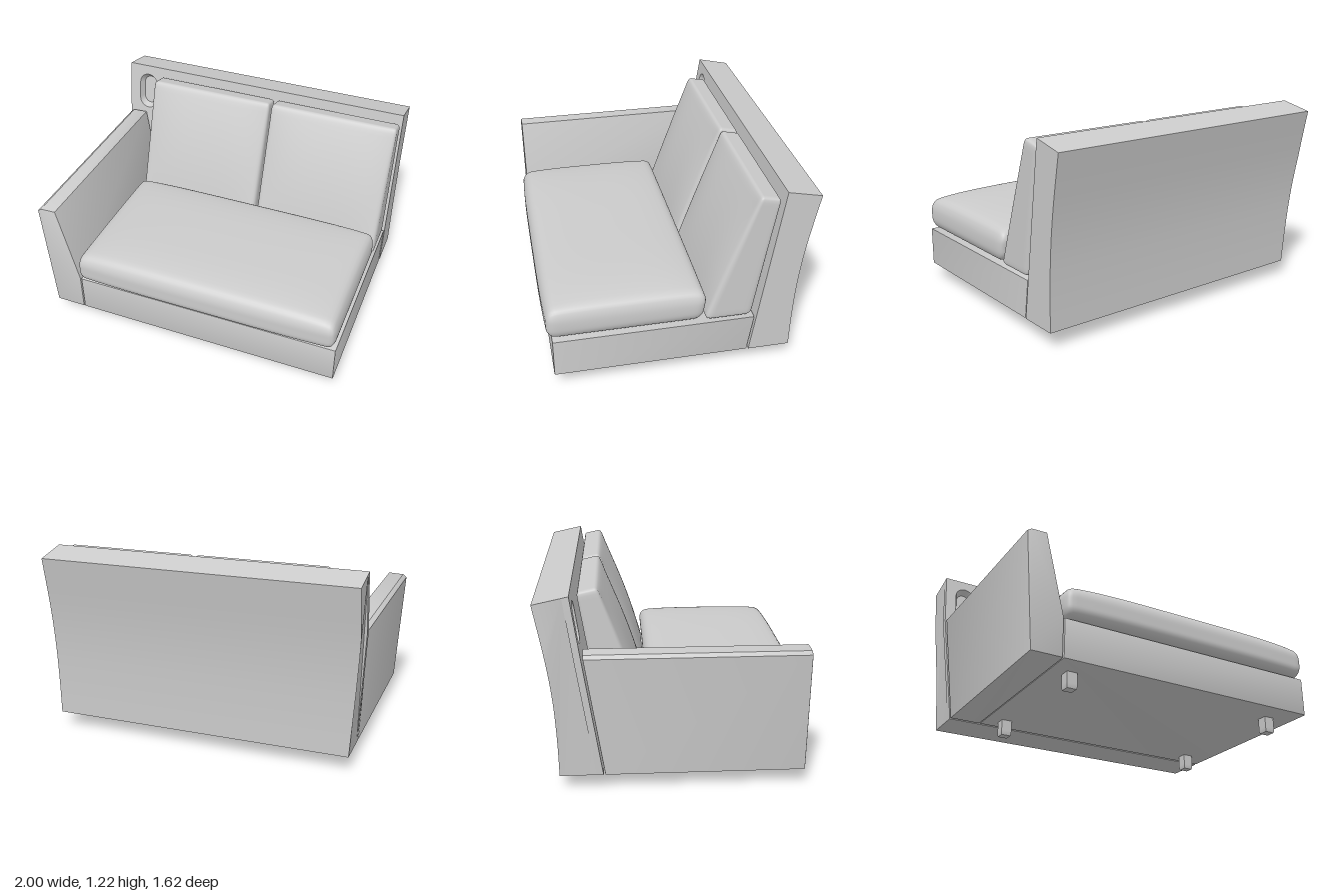
import * as THREE from 'three';
import { mergeVertices, toCreasedNormals } from 'three/addons/utils/BufferGeometryUtils.js';

const material = new THREE.MeshStandardMaterial({ color: 0xcccccc });
const LEAN = 0.148;                                   // backward lean of the backrest per unit of height
const frontZ = (y) => -0.44 - (y - 0.1) * LEAN;       // front plane of the backrest

function add(group, name, geometry) {
  const mesh = new THREE.Mesh(geometry, material);
  mesh.name = name;
  group.add(mesh);
  return mesh;
}

// Moves every vertex of a geometry by a rule
function deform(geometry, rule) {
  const p = geometry.attributes.position;
  const v = new THREE.Vector3();
  for (let i = 0; i < p.count; i++) {
    rule(v.fromBufferAttribute(p, i));
    p.setXYZ(i, v.x, v.y, v.z);
  }
  return geometry;
}

const outline = (points) => new THREE.Shape(points.map(([a, b]) => new THREE.Vector2(a, b)));

// Frame part: front outline run backwards, with its rear end cut along the leaning backrest
function frameBlock(points) {
  const bevel = 0.006;
  const geometry = new THREE.ExtrudeGeometry(outline(points), {
    depth: 1.2 - 2 * bevel, bevelSize: bevel, bevelThickness: bevel, bevelOffset: -bevel, bevelSegments: 2,
  });
  geometry.translate(0, 0, -0.43 + bevel);
  deform(geometry, (v) => { if (v.z < 0) v.z -= (v.y - 0.1) * LEAN; });
  return toCreasedNormals(geometry, 0.6);
}

// Rounded pillow in a -1..1 cube with edge radii (rx, ry, rz), then shaped by a rule
function pillow(radii, rule) {
  const geometry = new THREE.BoxGeometry(2, 2, 2, 32, 24, 32);
  geometry.deleteAttribute('uv');
  geometry.deleteAttribute('normal');
  const spread = (t) => Math.sin(t * Math.PI / 2);
  deform(geometry, (v) => {
    v.set(spread(v.x), spread(v.y), spread(v.z));
    const core = v.clone();
    ['x', 'y', 'z'].forEach((k, i) => {
      core[k] = THREE.MathUtils.clamp(v[k], radii[i] - 1, 1 - radii[i]);
    });
    const out = v.clone().sub(core).divide(new THREE.Vector3(...radii));
    const size = Math.max(Math.abs(out.x), Math.abs(out.y), Math.abs(out.z));
    if (size > 0) out.multiplyScalar(size / out.length());
    v.copy(core).add(out.multiply(new THREE.Vector3(...radii)));
    rule(v);
  });
  const merged = mergeVertices(geometry, 1e-5);
  merged.computeVertexNormals();
  return merged;
}

// Upright slot outline with round ends
function slot(cx, cy, radius, halfStraight) {
  const path = new THREE.Path();
  path.absarc(cx, cy + halfStraight, radius, 0, Math.PI);
  path.absarc(cx, cy - halfStraight, radius, Math.PI, 2 * Math.PI);
  path.closePath();
  return path;
}

function buildBackrest(group) {
  const depth = 0.04;
  const cx = -0.86, cy = 1.025;

  // Front panel with a dished slot
  const face = outline([[-0.945, 0.1], [1, 0.1], [1, 1.215], [-1, 1.215], [-1, 0.85]]);
  face.holes.push(slot(cx, cy, 0.066, 0.06));
  const panel = new THREE.ExtrudeGeometry(face, { depth, bevelEnabled: false, curveSegments: 16 });
  deform(panel, (v) => {
    const back = depth - v.z;
    const inSlot = Math.abs(v.x - cx) < 0.07 && Math.abs(v.y - cy) < 0.13;
    if (inSlot && back > 0.01) {
      v.x = cx + (v.x - cx) * 0.72;
      v.y = cy + (v.y - cy) * 0.8;
    }
    v.z = frontZ(v.y) - back;
    v.y -= 0.22 * back * (v.y - 0.1) / 1.115;
  });
  add(group, 'backrestFrontPanel', toCreasedNormals(panel, 0.6));

  // Body with a hollow-curved rear; its right edge tapers in towards the floor
  const side = new THREE.Shape();
  side.moveTo(frontZ(0.1) - depth, 0.1);
  side.lineTo(frontZ(0.85) - depth, 0.85 - 0.0059);
  side.lineTo(frontZ(1.215) - depth, 1.215 - 0.0088);
  side.lineTo(-0.812, 1.17);
  side.splineThru([[-0.752, 0.85], [-0.72, 0.6], [-0.705, 0.35], [-0.7, 0.1]]
    .map(([z, y]) => new THREE.Vector2(z, y)));
  const body = new THREE.ExtrudeGeometry(side, { depth: 2, bevelEnabled: false, curveSegments: 6 });
  body.rotateY(-Math.PI / 2).translate(1, 0, 0);
  deform(body, (v) => { if (v.x < 0) v.x += 0.055 * Math.max(0, (0.85 - v.y) / 0.75); });
  add(group, 'backrestBody', toCreasedNormals(body, 0.5));
}

export function createModel() {
  const sofa = new THREE.Group();
  sofa.name = 'sofa';

  // Base and the single sloping arm
  add(sofa, 'base', frameBlock([[-0.742, 0.1], [0.997, 0.1], [0.997, 0.348], [-0.742, 0.348]]));
  add(sofa, 'arm', frameBlock([
    [-0.945, 0.1], [-0.748, 0.1], [-0.748, 0.35], [-0.87, 0.868], [-0.97, 0.864], [-0.995, 0.845],
  ]));
  buildBackrest(sofa);

  // Domed seat cushion
  add(sofa, 'seatCushion', pillow([0.04, 0.7, 0.13], (v) => {
    const { x, y, z } = v;
    const domeX = 1 - x ** 4, domeZ = 1 - Math.abs(z) ** 3;
    const up = (y + 1) / 2;
    v.x = 0.123 + x * (0.868 - 0.012 * y * y);
    v.y = 0.355 + 0.19 * up + 0.06 * up * Math.sqrt(domeX * domeZ);
    v.z = 0.318 + z * 0.478 + Math.max(0, z) * 0.015 * domeX - Math.max(0, -z) * 0.03 * (up - 0.5);
  }));

  // Two leaning, wedge-shaped back cushions
  for (const [name, cx] of [['rightBackCushion', -0.315], ['leftBackCushion', 0.56]]) {
    add(sofa, name, pillow([0.05, 0.07, 0.3], (v) => {
      const { x, y, z } = v;
      const t = (y + 1) / 2, f = (z + 1) / 2;
      const rear = -0.447 - 0.13 * t, front = -0.155 - 0.3 * t;
      const bulge = 0.032 * (1 - x ** 4) * (1 - y * y);
      v.x = cx + x * 0.43;
      v.y = 0.36 + t * (0.805 + 0.027 * f);
      v.z = THREE.MathUtils.lerp(rear, front + bulge, f);
    }));
  }

  // Square feet with a slightly narrowed sole
  for (const x of [-0.612, 0.822]) {
    for (const z of [0.59, -0.315]) {
      const foot = new THREE.BoxGeometry(0.068, 0.1, 0.066, 1, 6, 1);
      deform(foot, (v) => { if (v.y < -0.049) { v.x *= 0.9; v.z *= 0.9; } });
      add(sofa, 'foot', toCreasedNormals(foot, 0.4)).position.set(x, 0.05, z);
    }
  }
  return sofa;
}
